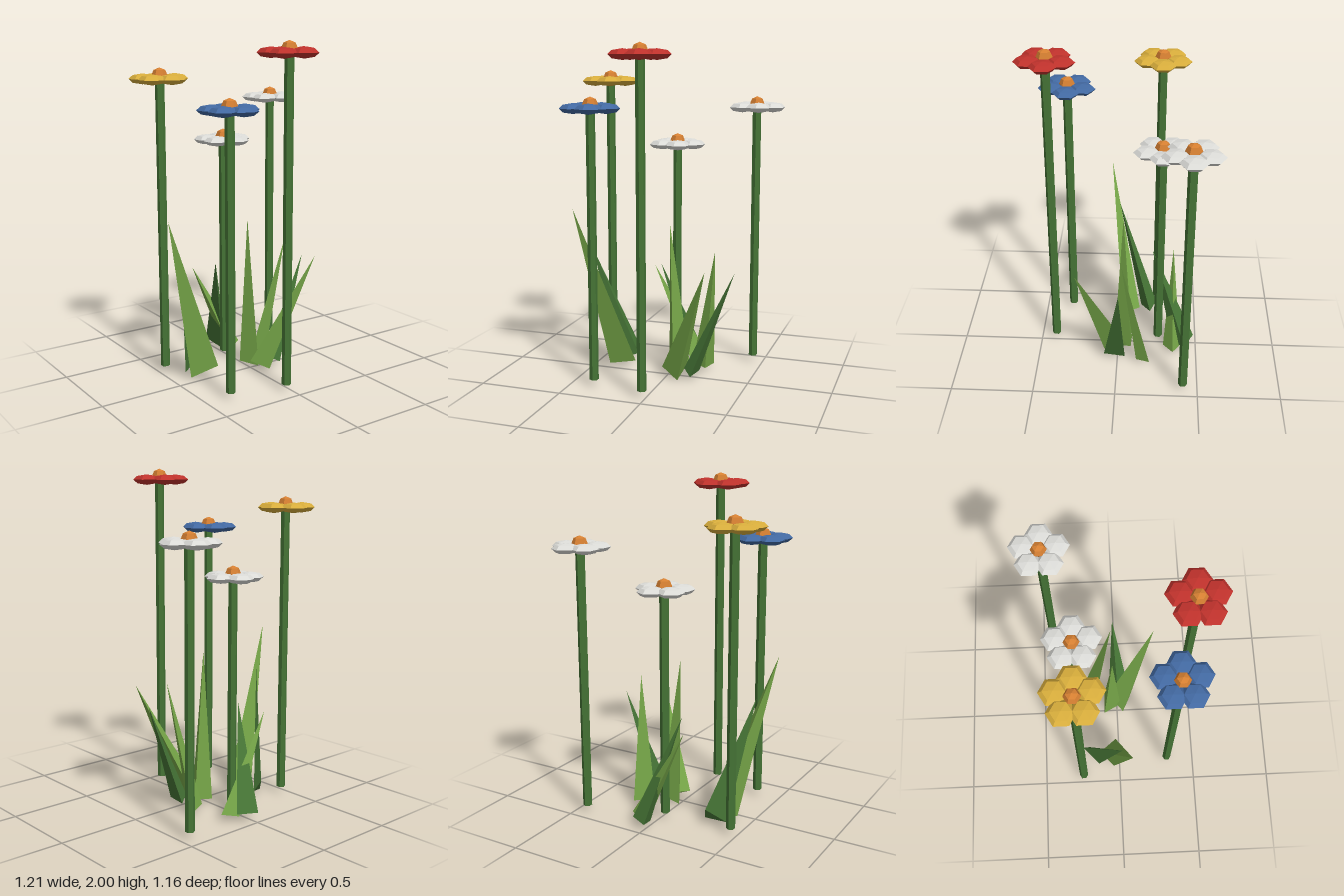
import * as THREE from 'three';
import { ConvexGeometry } from 'three/addons/geometries/ConvexGeometry.js';

const mat = (name, color) => {
  const m = new THREE.MeshStandardMaterial({ color });
  m.name = name;
  return m;
};

// Faceted copy of a geometry, one normal per face
function facet(geometry) {
  const g = geometry.toNonIndexed();
  g.computeVertexNormals();
  return g;
}

export function createModel() {
  const model = new THREE.Group();
  model.name = 'flowerPatch';

  const white = mat('petal white', 0xdcdcd8);
  const yellow = mat('petal yellow', 0xd9ae3c);
  const red = mat('petal red', 0xc0322c);
  const blue = mat('petal blue', 0x436aa3);
  const orange = mat('centre orange', 0xd68032);
  const darkGreen = mat('dark green', 0x467536);
  const lightGreen = mat('light green', 0x76a648);

  // Six-sided ball with corners on the z axis
  const ball = facet(new THREE.SphereGeometry(1, 6, 4).rotateY(Math.PI / 2));

  function add(parent, name, geometry, material) {
    const mesh = new THREE.Mesh(geometry, material);
    mesh.name = name;
    parent.add(mesh);
    return mesh;
  }

  // Flower: stem, ring of five flattened petals, domed centre
  function flower(name, x, y, z, petalMaterial) {
    const group = new THREE.Group();
    group.name = name;
    group.position.set(x, 0, z);
    const length = y - 0.04;
    const stem = add(group, 'stem', facet(new THREE.CylinderGeometry(0.027, 0.027, length, 6)), darkGreen);
    stem.position.y = 0.04 + length / 2;
    for (let i = 0; i < 5; i++) {
      const a = (i / 5) * Math.PI * 2;
      const petal = add(group, 'petal', ball, petalMaterial);
      petal.position.set(0.097 * Math.cos(a), y, 0.097 * Math.sin(a));
      petal.scale.set(0.08, 0.031, 0.08);
    }
    const centre = add(group, 'flowerCentre', ball, orange);
    centre.position.y = y + 0.018;
    centre.scale.setScalar(0.047);
    model.add(group);
  }

  flower('redFlower', -0.025, 1.935, 0.405, red);
  flower('yellowFlower', -0.46, 1.775, -0.245, yellow);
  flower('blueFlower', -0.355, 1.637, 0.322, blue);
  flower('tallWhiteFlower', 0.435, 1.62, -0.41, white);
  flower('shortWhiteFlower', -0.025, 1.395, -0.255, white);

  // Grass blades: tip, then three base corners
  const blades = [
    [lightGreen, [-0.595, 1.01, 0.065], [-0.306, 0.04, -0.13], [-0.222, 0.055, -0.02], [-0.4, 0.013, -0.04]],
    [darkGreen, [-0.485, 0.757, 0.01], [-0.268, 0.04, -0.2], [-0.29, 0.11, -0.24], [-0.38, 0.01, -0.14]],
    [lightGreen, [-0.203, 0.595, -0.343], [0.145, 0.04, -0.35], [0.05, 0.02, -0.4], [0.05, 0.02, -0.29]],
    [darkGreen, [-0.115, 0.64, -0.21], [-0.02, 0.05, -0.485], [0.094, 0.05, -0.425], [0.02, 0.01, -0.35]],
    [lightGreen, [0, 0.937, -0.03], [-0.02, 0.02, -0.087], [0.113, 0.05, -0.083], [0.042, 0.01, 0.026]],
    [lightGreen, [0.283, 0.786, -0.03], [0.113, 0.04, -0.145], [0.235, 0.03, -0.203], [0.2, 0.02, -0.12]],
    [lightGreen, [0.298, 0.722, 0.247], [-0.026, 0.06, 0.04], [0.1, 0.05, -0.06], [0.085, 0, 0.087]],
    [darkGreen, [0.405, 0.66, -0.015], [0.105, 0.055, 0.01], [0.165, 0.03, 0.085], [0.185, 0.03, -0.048]],
  ];
  const grass = new THREE.Group();
  grass.name = 'grass';
  for (const [material, ...corners] of blades) {
    add(grass, 'grassBlade', new ConvexGeometry(corners.map((c) => new THREE.Vector3(...c))), material);
  }
  model.add(grass);

  return model;
}
